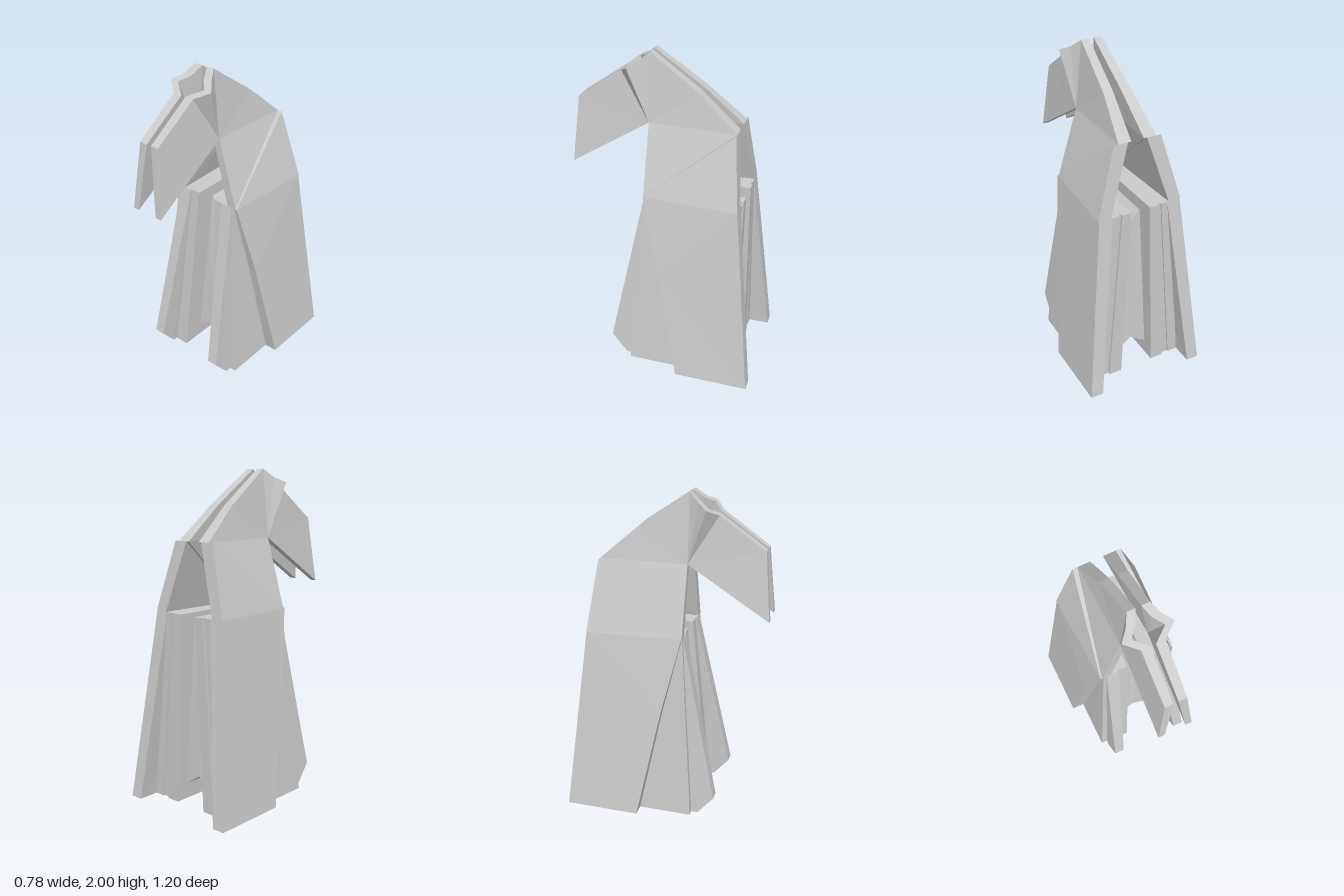
import * as THREE from 'three';

const material = new THREE.MeshStandardMaterial({ color: 0xcccccc, flatShading: true });

// Slab of cloth: corners are [z, y, inner x, outer x, outer y offset],
// counter-clockwise seen from +x; both faces fan out from the first corner.
function slabGeometry(corners, side) {
  const inner = corners.map(([z, y, a]) => [a * side, y, z]);
  const outer = corners.map(([z, y, , b, dy = 0]) => [b * side, y + dy, z]);
  const positions = [];
  const tri = (a, b, c) => positions.push(...a, ...(side > 0 ? b : c), ...(side > 0 ? c : b));
  const n = corners.length;
  for (let i = 1; i < n - 1; i++) {
    tri(outer[0], outer[i], outer[i + 1]);
    tri(inner[0], inner[i + 1], inner[i]);
  }
  for (let i = 0; i < n; i++) {
    const j = (i + 1) % n;
    tri(outer[i], inner[i], inner[j]);
    tri(outer[i], inner[j], outer[j]);
  }
  const geometry = new THREE.BufferGeometry();
  geometry.setAttribute('position', new THREE.Float32BufferAttribute(positions, 3));
  geometry.computeVertexNormals();
  return geometry;
}

const parts = {
  // Shoulder and hood, with the folded brow and hanging front flap
  hood: [
    [0.11, 1.59, 0.06, 0.105], [0.11, 1.17, 0.17, 0.23], [-0.42, 1.59, 0.04, 0.12],
    [-0.19, 1.79, 0.025, 0.085], [0.11, 2.0, 0.015, 0.065], [0.17, 1.95, 0.045, 0.1],
    [0.225, 1.92, 0.095, 0.15], [0.285, 1.88, 0.015, 0.07], [0.56, 1.69, 0.015, 0.065],
    [0.6, 1.28, 0.065, 0.105],
  ],
  // Triangular panel between hood and skirt
  shoulderPanel: [
    [-0.42, 1.59, 0.06, 0.15], [0.11, 1.17, 0.17, 0.24], [-0.47, 1.17, 0.19, 0.27],
  ],
  // Skirt layers from outside to inside
  outerSkirt: [
    [0, 0.7, 0.25, 0.31], [-0.14, 0, 0.31, 0.39], [-0.6, 0, 0.31, 0.39],
    [-0.47, 1.17, 0.18, 0.265], [0.11, 1.17, 0.18, 0.24],
  ],
  middlePleat: [
    [0.11, 1.17, 0.14, 0.22], [0.19, 0, 0.245, 0.31],
    [-0.47, 0, 0.245, 0.31], [-0.47, 1.17, 0.14, 0.2],
  ],
  frontPleat: [
    [0.11, 1.17, 0.12, 0.2], [0.33, 0.12, 0.2, 0.265], [0.23, 0, 0.2, 0.27],
    [-0.46, 0, 0.2, 0.27], [-0.46, 1.17, 0.11, 0.18],
  ],
  innerPleat: [
    [0.105, 1.17, 0.06, 0.12], [0.2, 0, 0.11, 0.195],
    [-0.475, 0, 0.11, 0.195], [-0.475, 1.17, 0.06, 0.12],
  ],
  // Folded web joining both halves in the middle
  centreWeb: [
    [-0.025, 1.02, 0, 0.07, 0.08], [0.06, 0.17, 0, 0.12, -0.08],
    [-0.4, 0.17, 0, 0.12, -0.08], [-0.36, 1.02, 0, 0.07, 0.08],
  ],
};

export function createModel() {
  const model = new THREE.Group();
  model.name = 'hoodedCloak';
  for (const [label, side] of [['left', 1], ['right', -1]]) {
    const half = new THREE.Group();
    half.name = `${label}Half`;
    for (const [name, corners] of Object.entries(parts)) {
      const mesh = new THREE.Mesh(slabGeometry(corners, side), material);
      mesh.name = name;
      half.add(mesh);
    }
    model.add(half);
  }
  return model;
}
